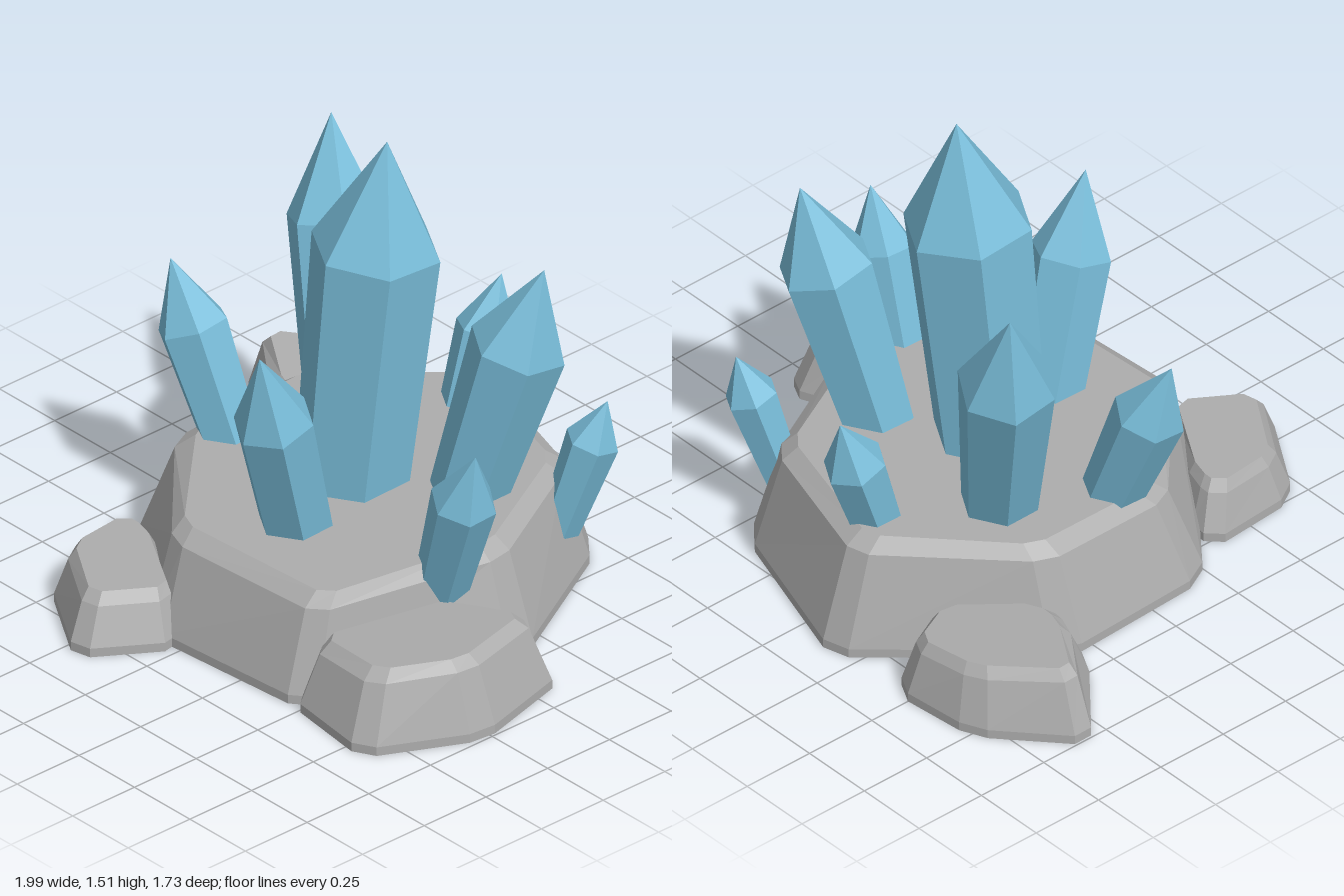
import * as THREE from 'three';

const stone = new THREE.MeshStandardMaterial({ color: 0xadadad, flatShading: true });
stone.name = 'grey stone';
const crystalBlue = new THREE.MeshStandardMaterial({ color: 0x78bcd8, flatShading: true });
crystalBlue.name = 'crystal blue';

// Cut every corner of an [x, z] outline into two points.
function chamfer(corners, size) {
  const out = [];
  corners.forEach((c, i) => {
    const p = new THREE.Vector2(...c);
    for (const step of [-1, 1]) {
      const n = new THREE.Vector2(...corners[(i + step + corners.length) % corners.length]);
      out.push(p.clone().add(n.sub(p).setLength(size)));
    }
  });
  return out;
}

// Bevelled slab: footprint, straight lip, sloping sides, shoulder bevel, tilted top.
function makeRock(name, base, top, cut, height, bevel) {
  const shoulder = base.map((b, i) => [0, 1].map(k => b[k] + (top[i][k] - b[k]) * 0.62));
  const rings = [
    chamfer(base, cut).map(p => [p.x, 0, p.y]),
    chamfer(base, cut).map(p => [p.x, 0.03, p.y]),
    chamfer(shoulder, cut * 0.85).map(p => [p.x, height(p.x, p.y) - bevel, p.y]),
    chamfer(top, cut * 0.7).map(p => [p.x, height(p.x, p.y), p.y]),
  ];
  const n = rings[0].length;
  const positions = rings.flat(2);
  const index = [];
  for (let r = 0; r < 3; r++) {
    for (let i = 0; i < n; i++) {
      const a = r * n + i, b = r * n + (i + 1) % n;
      index.push(a, a + n, b, b, a + n, b + n);
    }
  }
  // caps fan out from the centre of the first and last ring
  for (const r of [0, 3]) {
    const mid = [0, 1, 2].map(k => rings[r].reduce((s, p) => s + p[k], 0) / n);
    const m = positions.length / 3;
    positions.push(...mid);
    for (let i = 0; i < n; i++) {
      const a = r * n + i, b = r * n + (i + 1) % n;
      if (r === 0) index.push(m, a, b);
      else index.push(m, b, a);
    }
  }
  const geo = new THREE.BufferGeometry();
  geo.setAttribute('position', new THREE.Float32BufferAttribute(positions, 3));
  geo.setIndex(index);
  geo.computeVertexNormals();
  const mesh = new THREE.Mesh(geo, stone);
  mesh.name = name;
  return mesh;
}

// Six-sided crystal leaning from its foot to its point.
function makeCrystal(name, foot, tip, footRadius, radius, bodyShare) {
  const start = new THREE.Vector3(...foot);
  const axis = new THREE.Vector3(...tip).sub(start);
  const length = axis.length();
  const sink = 0.04;
  const profile = [[0, -sink], [footRadius, -sink], [radius, length * bodyShare], [0, length]]
    .map(p => new THREE.Vector2(...p));
  const mesh = new THREE.Mesh(new THREE.LatheGeometry(profile, 6), crystalBlue);
  mesh.name = name;
  mesh.position.copy(start);
  mesh.quaternion.setFromUnitVectors(new THREE.Vector3(0, 1, 0), axis.normalize());
  return mesh;
}

export function createModel() {
  const model = new THREE.Group();
  model.name = 'crystalCluster';

  // Rocks, outlines running clockwise seen from above
  const rocks = new THREE.Group();
  rocks.name = 'rocks';
  rocks.add(
    makeRock('mainRock',
      [[-0.18, -0.885], [0.42, -0.69], [0.72, -0.14], [0.5, 0.575], [-0.12, 0.625], [-0.635, 0.21], [-0.66, -0.35]],
      [[-0.16, -0.72], [0.35, -0.57], [0.58, -0.12], [0.46, 0.44], [-0.14, 0.475], [-0.51, 0.09], [-0.52, -0.36]],
      0.055, (x, z) => 0.347 - 0.03 * z, 0.04),
    makeRock('leftRock',
      [[-1.03, -0.585], [-0.76, -0.83], [-0.45, -0.86], [-0.32, -0.62], [-0.6, -0.3], [-0.74, -0.34]],
      [[-0.93, -0.58], [-0.71, -0.77], [-0.48, -0.79], [-0.4, -0.62], [-0.59, -0.42], [-0.7, -0.43]],
      0.05, x => 0.16 - 0.075 * x, 0.035),
    makeRock('rightRock',
      [[0.9, -0.12], [1.005, 0.28], [0.83, 0.63], [0.46, 0.58], [0.48, 0.1], [0.66, -0.02]],
      [[0.83, -0.02], [0.91, 0.29], [0.78, 0.51], [0.5, 0.48], [0.53, 0.12], [0.68, 0.04]],
      0.05, x => 0.18 + 0.08 * x, 0.035),
    makeRock('frontRock',
      [[-0.535, 0.34], [-0.38, 0.35], [0.0, 0.61], [-0.18, 0.885], [-0.51, 0.68]],
      [[-0.48, 0.41], [-0.38, 0.41], [-0.08, 0.59], [-0.21, 0.79], [-0.46, 0.63]],
      0.05, () => 0.182, 0.035));
  model.add(rocks);

  // Crystals: foot, tip, foot radius, widest radius, share of length below the point
  const crystals = new THREE.Group();
  crystals.name = 'crystals';
  [
    ['centreCrystal', [0, 0.34, -0.08], [0.07, 1.51, -0.16], 0.18, 0.205, 0.685],
    ['backLeftCrystal', [-0.285, 0.36, -0.3], [-0.51, 1.235, -0.455], 0.12, 0.155, 0.65],
    ['backRightCrystal', [0.31, 0.36, -0.28], [0.5, 1.15, -0.41], 0.12, 0.153, 0.65],
    ['frontCrystal', [0.085, 0.33, 0.22], [0.14, 1.01, 0.42], 0.115, 0.127, 0.62],
    ['leftCrystal', [-0.435, 0.32, 0.02], [-0.645, 0.875, 0.075], 0.095, 0.115, 0.63],
    ['rightCrystal', [0.54, 0.25, 0.04], [0.73, 0.79, 0.075], 0.085, 0.105, 0.65],
    ['backCrystal', [-0.075, 0.34, -0.615], [-0.07, 0.745, -0.75], 0.085, 0.1, 0.58],
    ['smallBackRightCrystal', [0.435, 0.2, -0.545], [0.53, 0.61, -0.64], 0.065, 0.085, 0.66],
  ].forEach(spec => crystals.add(makeCrystal(...spec)));
  model.add(crystals);

  return model;
}
